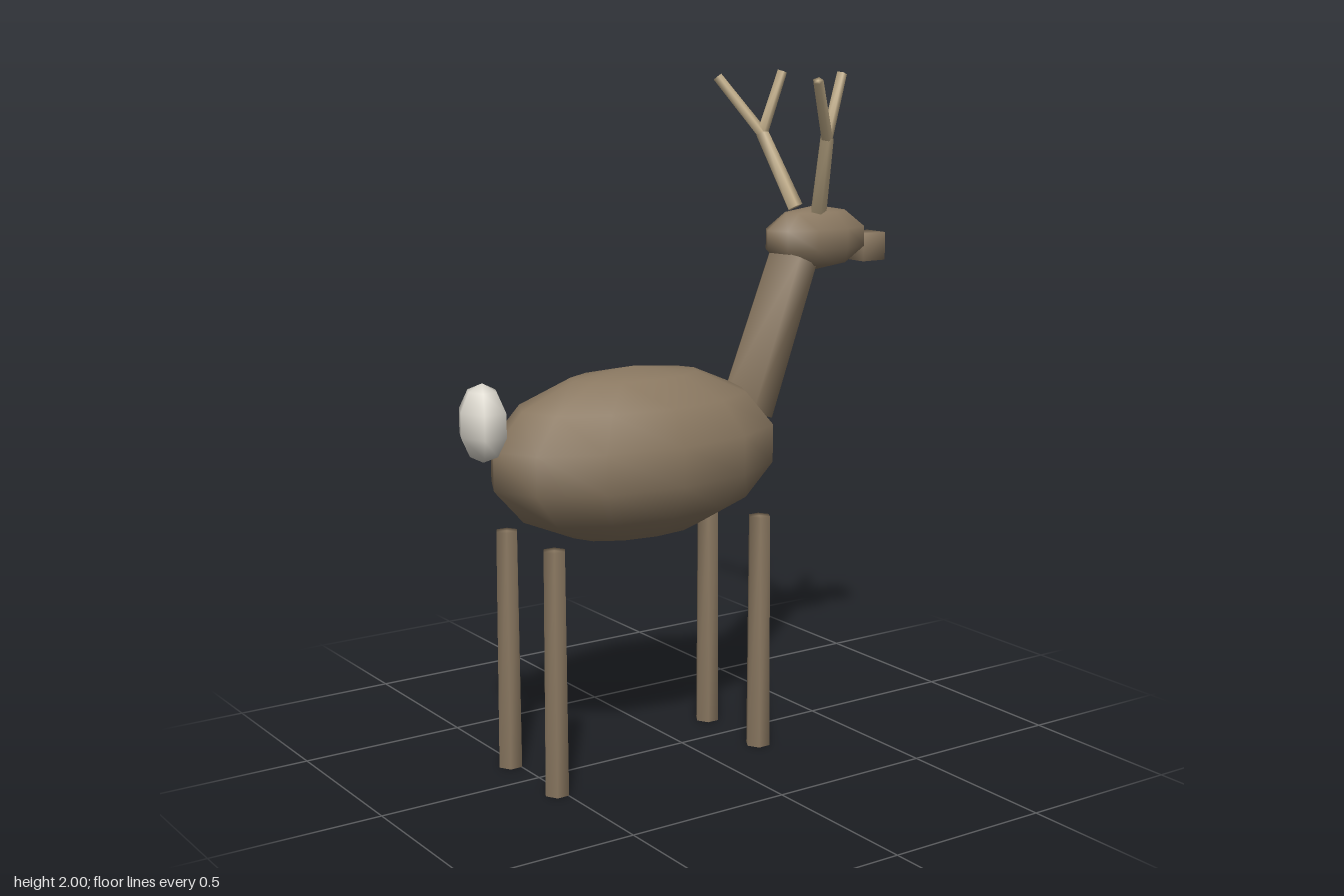
import * as THREE from 'three';
import { mergeVertices } from 'three/addons/utils/BufferGeometryUtils.js';

const flat = (name, color) => {
  const m = new THREE.MeshStandardMaterial({ color });
  m.name = name;
  return m;
};

// Weld every corner so the low-poly shapes shade softly
function soften(geometry) {
  geometry.deleteAttribute('uv');
  geometry.deleteAttribute('normal');
  const welded = mergeVertices(geometry, 1e-4);
  welded.computeVertexNormals();
  return welded;
}

// Faceted ellipsoid with its poles up and down
function ellipsoid(radii, columns, rings) {
  return soften(new THREE.SphereGeometry(1, columns, rings).scale(...radii));
}

// Tapered rod between two points
function rod(from, to, rFrom, rTo, sides) {
  const a = new THREE.Vector3(...from), b = new THREE.Vector3(...to);
  const dir = b.clone().sub(a);
  const g = new THREE.CylinderGeometry(rTo, rFrom, dir.length(), sides);
  g.rotateY(-Math.PI / 2);
  g.applyQuaternion(new THREE.Quaternion().setFromUnitVectors(new THREE.Vector3(0, 1, 0), dir.normalize()));
  const mid = a.add(b).multiplyScalar(0.5);
  g.translate(mid.x, mid.y, mid.z);
  return soften(g);
}

export function createModel() {
  const fur = flat('brownFur', 0x8a7861);
  const horn = flat('tanAntler', 0xc4b08c);
  const white = flat('paleTail', 0xdeDAD0);
  const model = new THREE.Group();
  model.name = 'deer';

  const add = (name, geometry, material, position = [0, 0, 0], parent = model) => {
    const mesh = new THREE.Mesh(geometry, material);
    mesh.name = name;
    mesh.position.set(...position);
    parent.add(mesh);
    return mesh;
  };

  // Trunk, neck and head
  add('body', ellipsoid([0.477, 0.253, 0.262], 12, 7), fur, [-0.165, 0.922, 0]);
  add('neck', rod([0.224, 1.005, 0], [0.395, 1.45, 0], 0.088, 0.08, 5), fur);
  add('head', ellipsoid([0.189, 0.097, 0.097], 10, 5), fur, [0.487, 1.504, 0]);
  add('snout', soften(new THREE.BoxGeometry(0.085, 0.085, 0.085)), fur, [0.683, 1.467, 0]);
  add('tail', ellipsoid([0.071, 0.111, 0.089], 6, 5), white, [-0.661, 1.063, 0]);

  for (const side of [1, -1]) {
    const label = side > 0 ? 'Near' : 'Far';

    // Legs
    for (const [name, x] of [['frontLeg', 0.187], ['hindLeg', -0.518]]) {
      add(name + label, rod([x, 0, 0.133 * side], [x, 0.71, 0.133 * side], 0.038, 0.034, 6), fur);
    }

    // Antler: one beam that forks into two tines
    const antler = new THREE.Group();
    antler.name = 'antler' + label;
    model.add(antler);
    const fork = [0.4, 1.81, 0.157 * side];
    add('beam', rod([0.452, 1.592, 0.057 * side], fork, 0.025, 0.021, 5), horn, undefined, antler);
    add('rearTine', rod(fork, [0.296, 1.978, 0.245 * side], 0.018, 0.016, 5), horn, undefined, antler);
    add('frontTine', rod(fork, [0.463, 1.995, 0.143 * side], 0.018, 0.016, 5), horn, undefined, antler);
  }
  return model;
}
